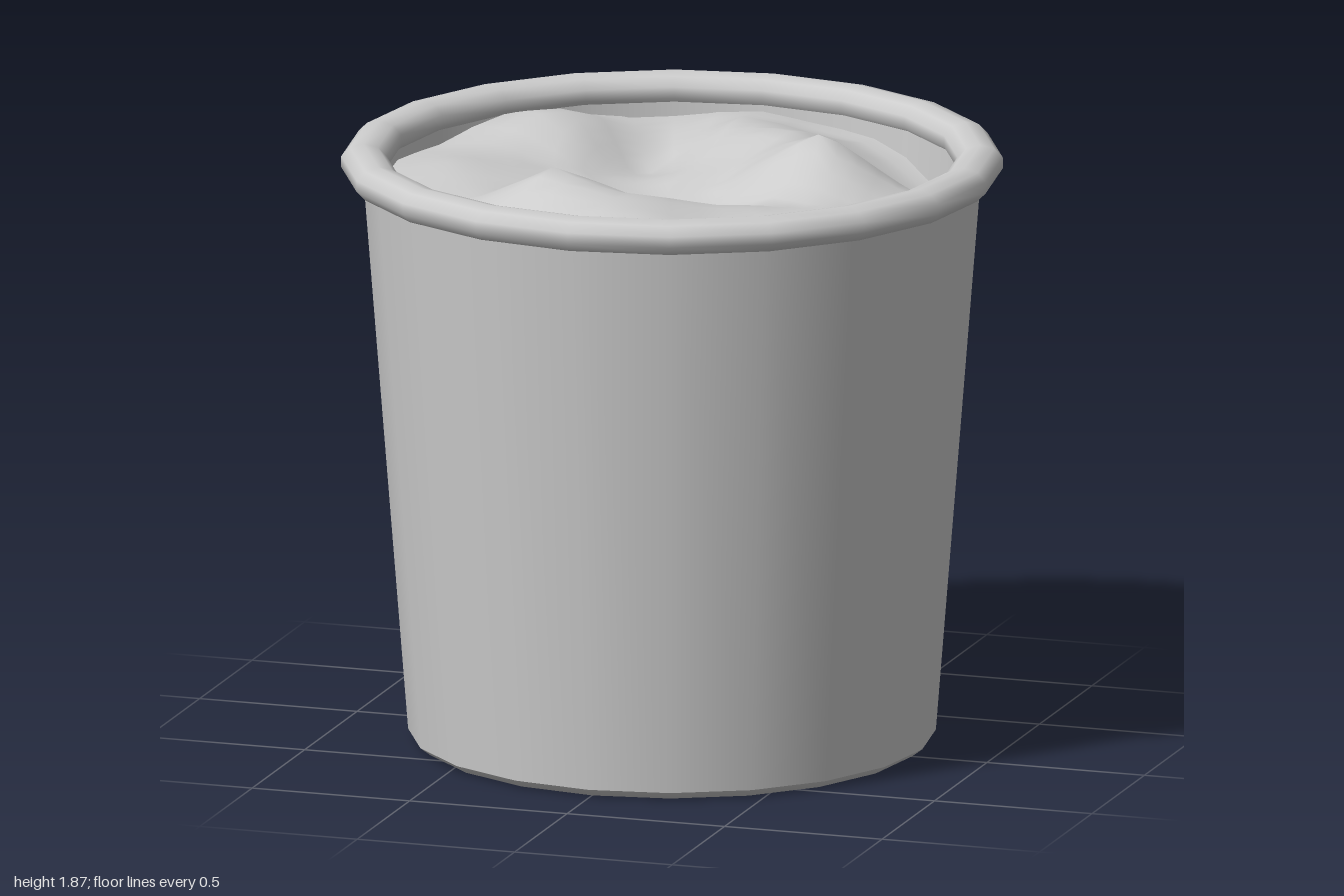
import * as THREE from 'three';
import { mergeVertices } from 'three/addons/utils/BufferGeometryUtils.js';

const SIDES = 20;

export function createModel() {
  const group = new THREE.Group();
  const grey = new THREE.MeshStandardMaterial({ color: 0xcccccc });
  grey.name = 'light grey';

  const add = (name, geometry) => {
    const mesh = new THREE.Mesh(geometry, grey);
    mesh.name = name;
    group.add(mesh);
  };
  const lathe = (name, profile) =>
    add(name, new THREE.LatheGeometry(profile.map(([r, y]) => new THREE.Vector2(r, y)), SIDES));

  // Tapered bucket: each surface is its own lathe so the edges stay crisp
  lathe('outerWall', [[0.795, 0.025], [0.932, 1.76]]);
  lathe('baseBevel', [[0.7, 0.008], [0.762, 0], [0.795, 0.025]]);
  lathe('base', [[0, 0.008], [0.7, 0.008]]);
  lathe('innerWall', [[0.875, 1.79], [0.85, 1.4]]);

  // Rolled rim, with the profile seam hidden underneath
  const rim = [];
  for (let i = 0; i <= 10; i++) {
    const a = -Math.PI / 2 + (i / 10) * Math.PI * 2;
    rim.push([0.928 + 0.072 * Math.cos(a), 1.785 + 0.055 * Math.sin(a)]);
  }
  lathe('rim', rim);

  // Crumpled filling: folds given as [x, z, height, reach along x, reach along z, turn]
  const folds = [
    [0.42, -0.15, 0.17, 0.3, 0.3, 0],
    [-0.25, 0.44, 0.14, 0.28, 0.24, 0],
    [0.05, 0.5, 0.1, 0.5, 0.26, 0.45],
    [0.08, 0.7, 0.06, 0.4, 0.22, 0],
    [0.2, -0.46, 0.09, 0.42, 0.28, -0.2],
    [-0.02, -0.72, 0.05, 0.25, 0.3, 0],
    [-0.55, -0.45, 0.1, 0.32, 0.3, 0.5],
    [-0.66, 0.08, 0.05, 0.3, 0.4, 0],
    [0.0, 0.1, -0.08, 0.36, 0.3, 0],
    [-0.2, -0.4, -0.07, 0.22, 0.4, 0],
    [0.68, -0.52, -0.1, 0.4, 0.4, 0.7],
    [0.55, 0.3, 0.04, 0.3, 0.35, 0],
  ];
  const height = (x, z) => {
    let y = 1.71;
    for (const [fx, fz, h, rx, rz, turn] of folds) {
      const dx = x - fx, dz = z - fz, c = Math.cos(turn), s = Math.sin(turn);
      const d = Math.hypot((dx * c - dz * s) / rx, (dx * s + dz * c) / rz);
      y += h * Math.max(0, 1 - d);
    }
    return y;
  };
  let filling = new THREE.RingGeometry(0.01, 0.872, SIDES * 2, 14);
  filling.rotateX(-Math.PI / 2);
  filling.deleteAttribute('uv');
  filling.deleteAttribute('normal');
  filling = mergeVertices(filling);
  const p = filling.attributes.position;
  for (let i = 0; i < p.count; i++) p.setY(i, height(p.getX(i), p.getZ(i)));
  filling.computeVertexNormals();
  add('crumpledFilling', filling);

  return group;
}
